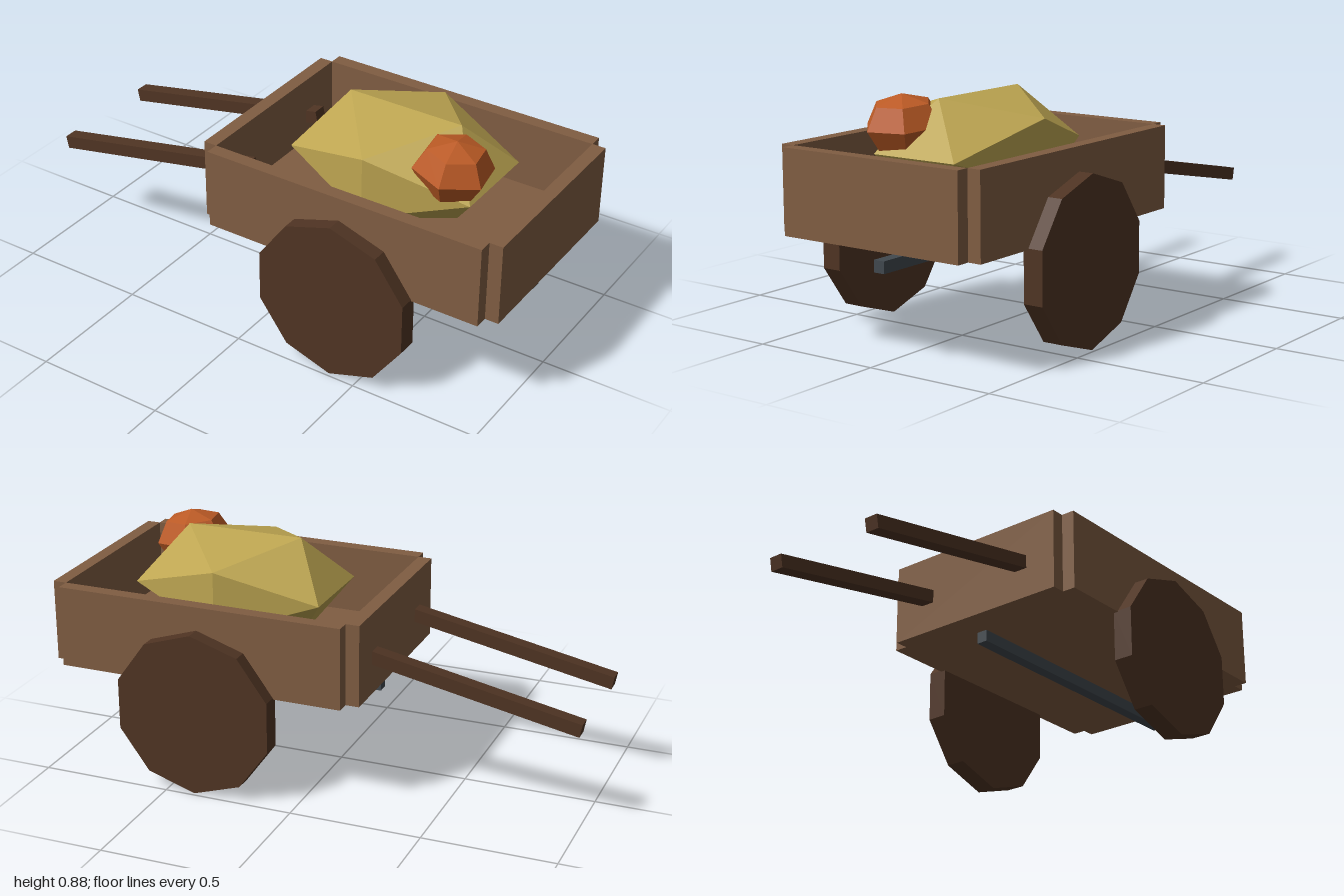
import * as THREE from 'three';

export function createModel() {
  const cart = new THREE.Group();
  cart.name = 'handCart';

  const material = (name, color) => {
    const m = new THREE.MeshStandardMaterial({ color, flatShading: true });
    m.name = name;
    return m;
  };
  const plank = material('plankBrown', 0x805d42);
  const darkWood = material('darkWood', 0x4f3423);
  const iron = material('ironGrey', 0x41484e);
  const straw = material('strawYellow', 0xbda551);
  const orange = material('pumpkinOrange', 0xbb5a25);

  const add = (name, geometry, mat, x, y, z) => {
    const mesh = new THREE.Mesh(geometry, mat);
    mesh.name = name;
    mesh.position.set(x, y, z);
    cart.add(mesh);
    return mesh;
  };
  const box = (name, w, h, d, mat, x, y, z) =>
    add(name, new THREE.BoxGeometry(w, h, d), mat, x, y, z);

  // Open bed: floor, two long sides and two end boards
  const cx = 0.39;
  box('bedFloor', 1.115, 0.05, 0.76, plank, cx, 0.43, 0);
  for (const s of [-1, 1]) {
    box('sideBoard', 1.115, 0.31, 0.052, plank, cx, 0.56, s * 0.404);
    box('endBoard', 0.052, 0.31, 0.757, plank, cx + s * 0.583, 0.56, 0);
  }

  // Long bar under the bed
  box('underBar', 1.115, 0.044, 0.044, iron, cx, 0.338, 0);

  for (const s of [-1, 1]) {
    // Ten-sided solid wheel, one corner pointing up
    const wheel = new THREE.CylinderGeometry(0.313, 0.313, 0.076, 10);
    wheel.rotateX(Math.PI / 2);
    add('wheel', wheel, darkWood, cx, 0.313, s * 0.449);

    // Sloping handle that pokes through the end board
    const handle = box('handle', 0.893, 0.05, 0.054, darkWood, -0.557, 0.478, s * 0.225);
    handle.rotation.z = 0.197;
  }

  // Heap of hay
  add('hayPile', new THREE.IcosahedronGeometry(1, 0), straw, cx, 0.678, 0)
    .scale.set(0.436, 0.226, 0.335);

  // Pumpkin, squashed and leaning slightly
  const pumpkin = new THREE.SphereGeometry(0.147, 6, 4);
  pumpkin.rotateY(-THREE.MathUtils.degToRad(20));
  pumpkin.scale(1, 0.76, 1);
  add('pumpkin', pumpkin, orange, 0.66, 0.773, 0.122).rotation.z = -0.1;

  return cart;
}
